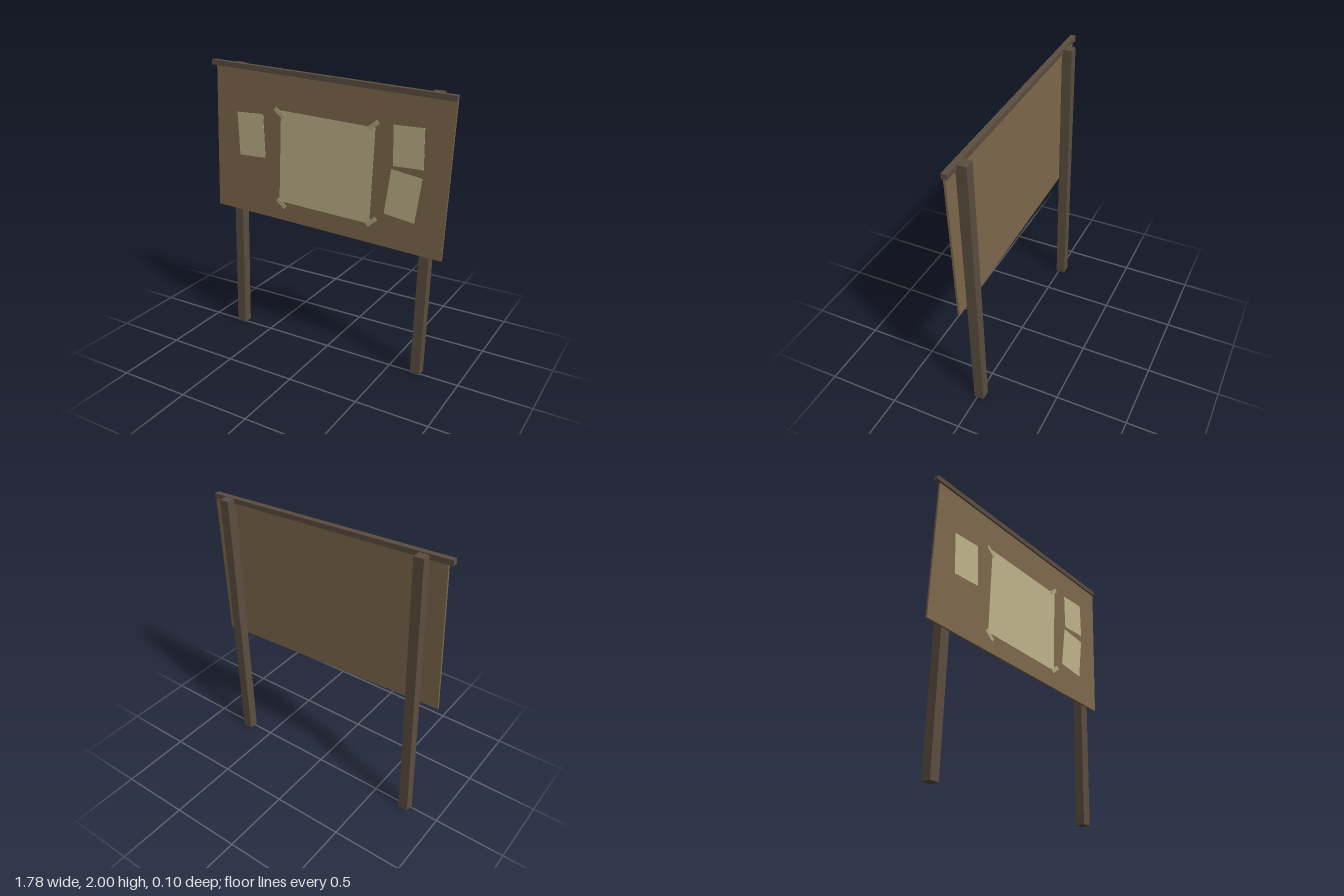
import * as THREE from 'three';

const wood = new THREE.MeshStandardMaterial({ color: 0x5c4e40 });
const panel = new THREE.MeshStandardMaterial({ color: 0x80694d });
const paper = new THREE.MeshStandardMaterial({ color: 0xc0b48a });
const tape = new THREE.MeshStandardMaterial({ color: 0xb3a780 });

export function createModel() {
  const model = new THREE.Group();
  model.name = 'noticeBoard';

  // Box centred at (x, y), spanning z0..z1, rolled about z
  const slab = (name, material, x, y, w, h, z0, z1, roll) => {
    const mesh = new THREE.Mesh(new THREE.BoxGeometry(w, h, z1 - z0), material);
    mesh.name = name;
    mesh.position.set(x, y, (z0 + z1) / 2);
    mesh.rotation.z = roll;
    model.add(mesh);
  };

  // Leaning posts, placed by the centre of their feet
  const lean = -0.027;
  for (const [name, x, length] of [['rightPost', -0.756, 1.984], ['leftPost', 0.697, 1.928]]) {
    slab(name, wood, x - Math.sin(lean) * length / 2, 0.001 + Math.cos(lean) * length / 2,
      0.068, length, -0.048, 0.021, lean);
  }

  // Sagging panel and its top rail
  const sag = -0.042;
  slab('panel', panel, -0.004, 1.423, 1.742, 1.02, 0.021, 0.035, sag);
  slab('topRail', wood, 0, 1.945, 1.774, 0.035, 0.011, 0.048, sag);

  // Pinned sheets: x, y, width, height, roll
  const sheets = [
    ['poster', 0, 1.368, 0.70, 0.641, -0.045],
    ['rightNote', -0.584, 1.507, 0.214, 0.303, 0.03],
    ['upperLeftNote', 0.593, 1.579, 0.206, 0.26, 0.015],
    ['lowerLeftNote', 0.566, 1.259, 0.214, 0.304, -0.14],
  ];
  for (const [name, x, y, w, h, roll] of sheets) slab(name, paper, x, y, w, h, 0.034, 0.037, roll);

  // Tape across the poster corners
  for (const side of [-1, 1]) {
    for (const y of [1.686, 1.048]) {
      slab('tape', tape, side * 0.35, y, 0.085, 0.03, 0.034, 0.039, side * 0.69);
    }
  }
  return model;
}
